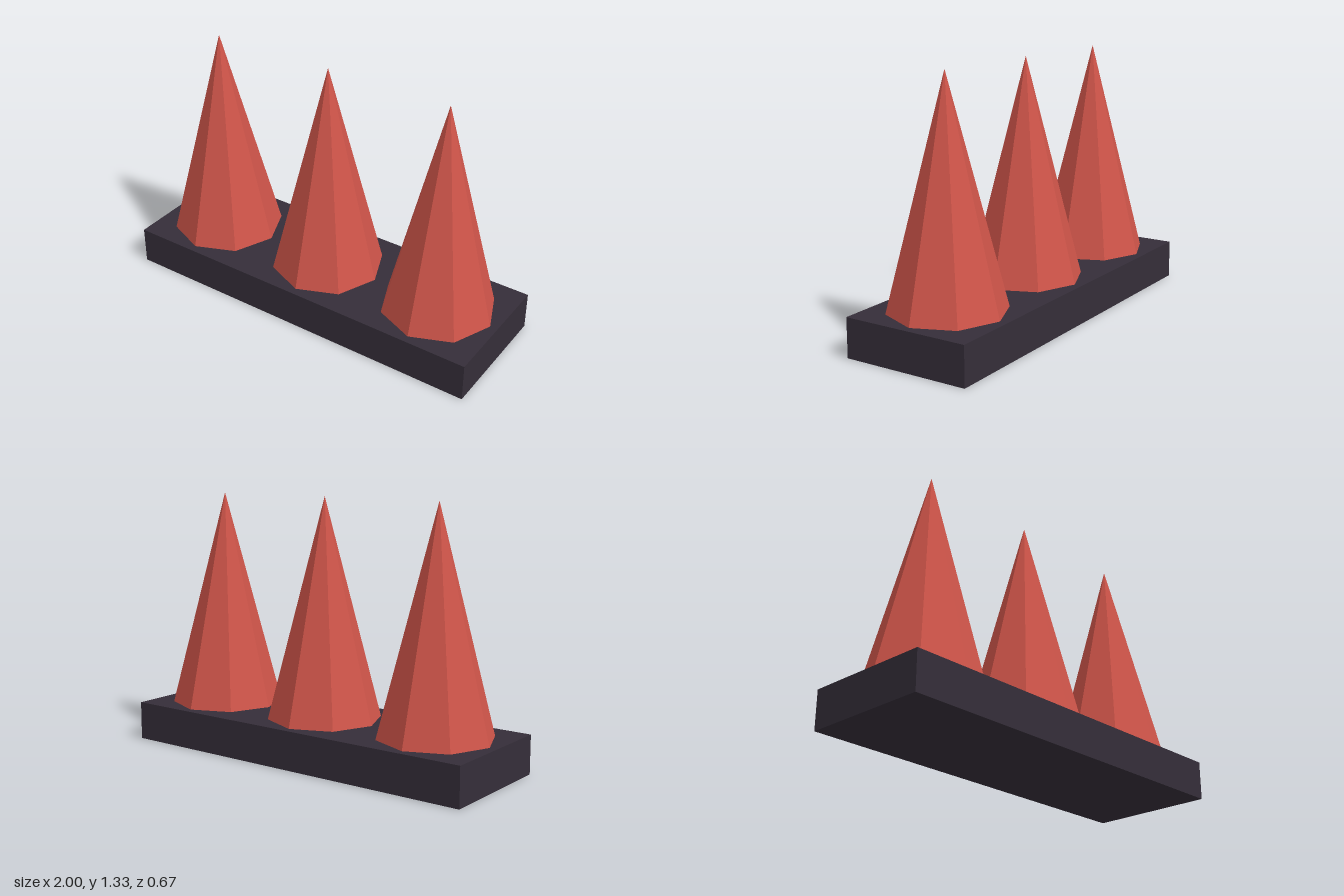
import * as THREE from 'three';

const BASE_HEIGHT = 0.2;
const TIP_HEIGHT = 1.33;

export function createModel() {
  const model = new THREE.Group();
  model.name = 'spikeStrip';

  const baseMaterial = new THREE.MeshStandardMaterial({ color: 0x352e39 });
  const spikeMaterial = new THREE.MeshStandardMaterial({ color: 0xd0554a, flatShading: true });

  // Flat base slab
  const base = new THREE.Mesh(new THREE.BoxGeometry(2, BASE_HEIGHT, 0.667), baseMaterial);
  base.name = 'base';
  base.position.y = BASE_HEIGHT / 2;
  model.add(base);

  // Three eight-sided spikes in a row, standing on the slab
  const height = TIP_HEIGHT - BASE_HEIGHT;
  const spikeGeometry = new THREE.ConeGeometry(0.293, height, 8);
  ['rightSpike', 'middleSpike', 'leftSpike'].forEach((name, i) => {
    const spike = new THREE.Mesh(spikeGeometry, spikeMaterial);
    spike.name = name;
    spike.position.set((i - 1) * 0.667, BASE_HEIGHT + height / 2, 0);
    model.add(spike);
  });

  return model;
}
